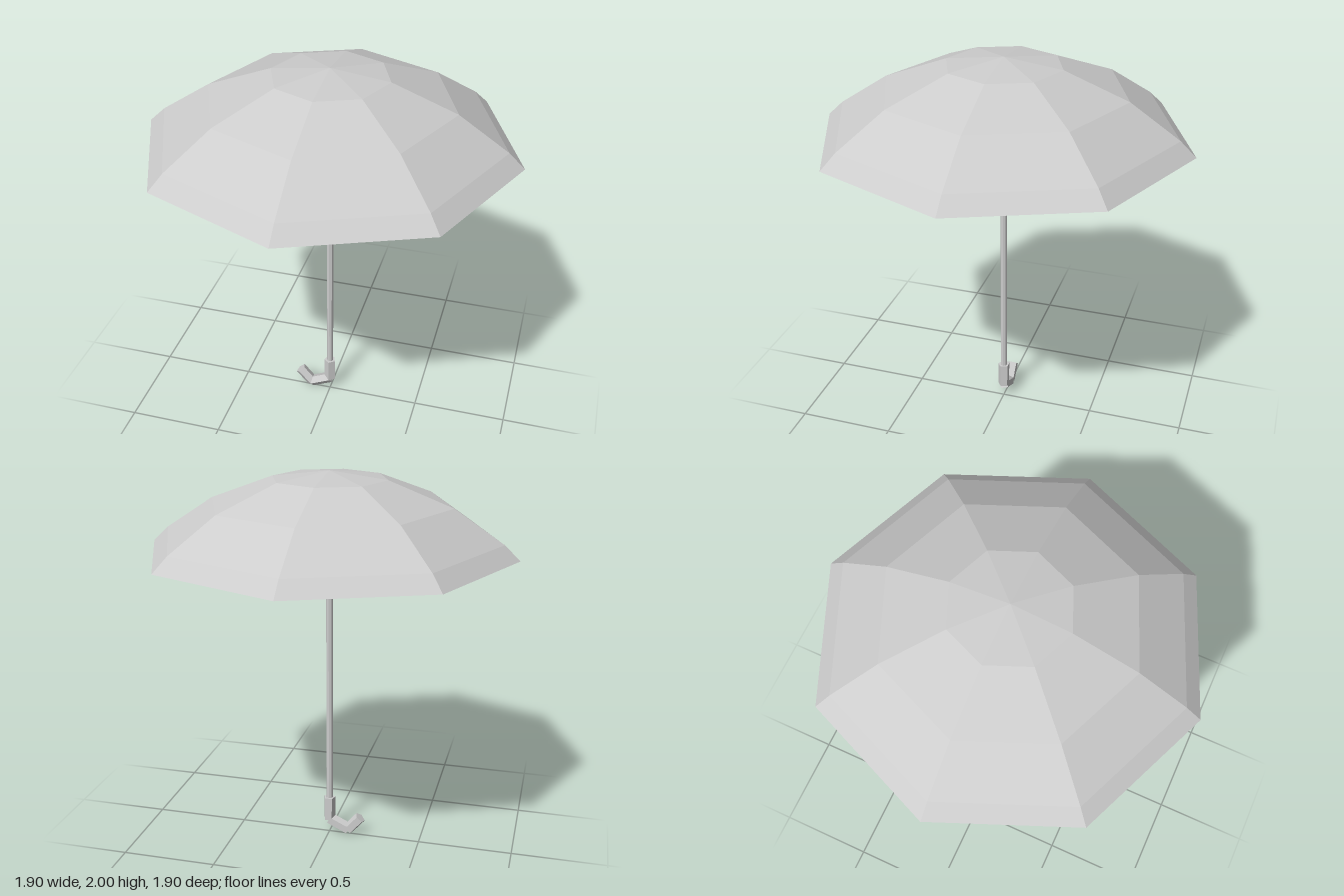
import * as THREE from 'three';

const grey = new THREE.MeshStandardMaterial({ color: 0xcccccc, flatShading: true });
grey.name = 'plain grey';

function addPart(parent, name, geometry) {
  const flat = geometry.toNonIndexed();
  flat.computeVertexNormals();
  const mesh = new THREE.Mesh(flat, grey);
  mesh.name = name;
  parent.add(mesh);
  return mesh;
}

// Closed prism running from point a to point b
function addRod(parent, name, a, b, radius, sides) {
  const dir = b.clone().sub(a);
  const rod = addPart(parent, name, new THREE.CylinderGeometry(radius, radius, dir.length(), sides));
  rod.position.copy(a).add(b).multiplyScalar(0.5);
  rod.rotation.z = Math.atan2(-dir.x, dir.y);
  return rod;
}

export function createModel() {
  const umbrella = new THREE.Group();
  umbrella.name = 'umbrella';

  // Eight-sided canopy with a flat, closed underside
  const profile = [[0, 1.6], [0.95, 1.6], [0.87, 1.675], [0.62, 1.84], [0.295, 1.963], [0, 2]]
    .map(([r, y]) => new THREE.Vector2(r, y));
  addPart(umbrella, 'canopy', new THREE.LatheGeometry(profile, 8));

  // Thin straight shaft
  addRod(umbrella, 'shaft', new THREE.Vector3(0, 0.15, 0), new THREE.Vector3(0, 1.62, 0), 0.018, 8);

  // Hooked handle made of three five-sided segments
  const handle = new THREE.Group();
  handle.name = 'handle';
  const path = [[0, 0.215], [0, 0.083], [-0.108, 0.032], [-0.174, 0.109]]
    .map(([x, y]) => new THREE.Vector3(x, y, 0));
  const names = ['handleGrip', 'handleBend', 'handleTip'];
  names.forEach((name, i) => {
    // Each segment is built upward so its ridge stays at the front
    const [low, high] = path[i].y < path[i + 1].y ? [path[i], path[i + 1]] : [path[i + 1], path[i]];
    addRod(handle, name, low, high, 0.032, 5);
  });
  umbrella.add(handle);

  return umbrella;
}
